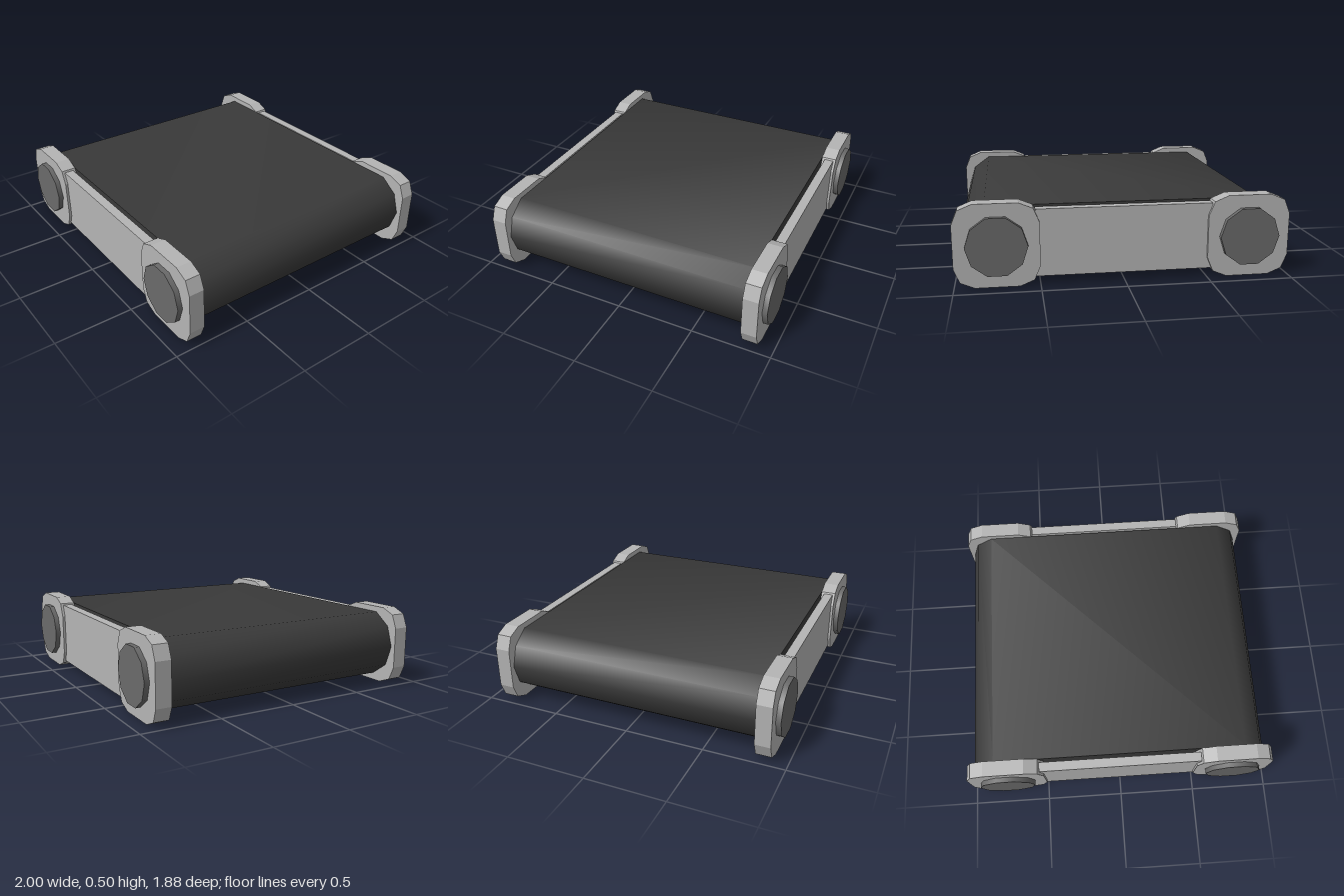
import * as THREE from 'three';
import { toCreasedNormals } from 'three/addons/utils/BufferGeometryUtils.js';

const CY = 0.25; // height of the roller axes
const AXIS_X = 0.75; // distance of the roller axes from the centre

const grey = new THREE.MeshStandardMaterial({ color: 0xb4b4b4, flatShading: true });
const rubber = new THREE.MeshStandardMaterial({ color: 0x3a3a3a });
const darkGrey = new THREE.MeshStandardMaterial({ color: 0x6a6a6a });

function addMesh(parent, name, geometry, material, x, y, z) {
  const mesh = new THREE.Mesh(geometry, material);
  mesh.name = name;
  mesh.position.set(x, y, z);
  parent.add(mesh);
  return mesh;
}

// Extrude a shape along z, centred on z = 0
function slab(points, depth) {
  const geometry = new THREE.ExtrudeGeometry(new THREE.Shape(points), { depth, bevelEnabled: false });
  return geometry.translate(0, 0, -depth / 2);
}

// Loop around two ten-sided rollers
function beltOutline(radius) {
  const points = [];
  for (const [side, start] of [[1, -2], [-1, 3]]) {
    for (let i = 0; i < 5; i++) {
      const a = (start + i) * Math.PI / 5;
      points.push(new THREE.Vector2(side * AXIS_X + radius * Math.cos(a), radius * Math.sin(a)));
    }
  }
  return points;
}

// Square whose corners are rounded in two steps
function capOutline(half, corner) {
  const points = [];
  const c = half - corner;
  for (let q = 0; q < 4; q++) {
    const mid = (q + 0.5) * Math.PI / 2;
    for (let i = -1; i <= 1; i++) {
      const a = mid + i * Math.PI / 4;
      points.push(new THREE.Vector2(
        c * Math.sign(Math.cos(mid)) + corner * Math.cos(a),
        c * Math.sign(Math.sin(mid)) + corner * Math.sin(a)));
    }
  }
  return points;
}

export function createModel() {
  const model = new THREE.Group();
  model.name = 'conveyor';

  // Belt
  addMesh(model, 'belt', toCreasedNormals(slab(beltOutline(0.22), 1.62), 0.8), rubber, 0, CY + 0.005, 0);

  const capGeometry = slab(capOutline(0.25, 0.12), 0.097);
  const panelGeometry = new THREE.BoxGeometry(1.05, 0.405, 0.06);
  // Ten-sided hub with a vertex pointing sideways
  const hubGeometry = toCreasedNormals(
    new THREE.CylinderGeometry(0.181, 0.181, 0.06, 10).rotateY(Math.PI / 2).rotateX(Math.PI / 2), 0.8);

  // Side frames
  for (const side of [1, -1]) {
    const frame = new THREE.Group();
    frame.name = side > 0 ? 'frontFrame' : 'backFrame';
    model.add(frame);
    addMesh(frame, 'sidePanel', panelGeometry, grey, 0, CY + 0.003, side * 0.86);
    for (const end of [1, -1]) {
      const label = end > 0 ? 'left' : 'right';
      addMesh(frame, label + 'EndCap', capGeometry, grey, end * AXIS_X, CY, side * 0.858);
      addMesh(frame, label + 'Hub', hubGeometry, darkGrey, end * AXIS_X, CY, side * 0.908);
    }
  }
  return model;
}
